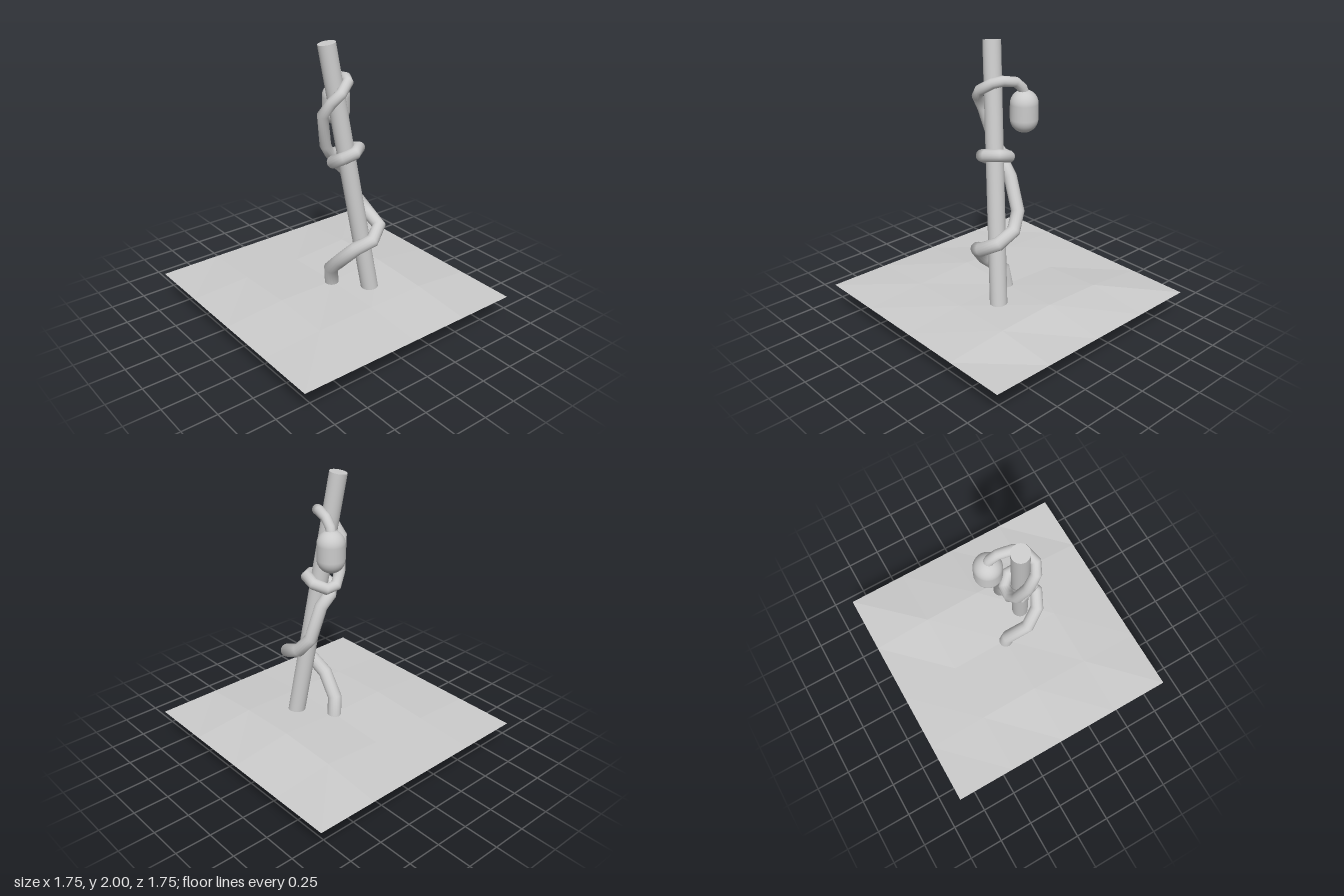
import * as THREE from 'three';

const v = (a) => new THREE.Vector3(...a);
const grey = (extra = {}) => new THREE.MeshStandardMaterial({ color: 0xcccccc, ...extra });

// Tapered tube swept along a polyline with mitred bends and closed ends
function sweep(points, r0, r1, sides) {
  const n = points.length;
  const pos = [], index = [];
  let normal = new THREE.Vector3(1, 0, 0);
  points.forEach((p, i) => {
    const into = points[Math.max(i, 1)].clone().sub(points[Math.max(i, 1) - 1]).normalize();
    const out = points[Math.min(i + 1, n - 1)].clone().sub(points[Math.min(i, n - 2)]).normalize();
    const tangent = into.add(out).normalize();
    normal.addScaledVector(tangent, -normal.dot(tangent)).normalize();
    const side = tangent.clone().cross(normal);
    const r = THREE.MathUtils.lerp(r0, r1, i / (n - 1));
    for (let j = 0; j < sides; j++) {
      const a = (j / sides) * Math.PI * 2;
      const q = p.clone().addScaledVector(normal, r * Math.cos(a)).addScaledVector(side, r * Math.sin(a));
      pos.push(q.x, q.y, q.z);
    }
  });
  for (let i = 0; i < n - 1; i++) {
    for (let j = 0; j < sides; j++) {
      const a = i * sides + j, b = i * sides + (j + 1) % sides;
      index.push(a, b, a + sides, b, b + sides, a + sides);
    }
  }
  // End caps use their own vertices so the rims stay sharp
  for (const ring of [0, n - 1]) {
    const base = pos.length / 3;
    pos.push(...pos.slice(ring * sides * 3, (ring + 1) * sides * 3));
    for (let j = 1; j < sides - 1; j++) {
      if (ring === 0) index.push(base, base + j + 1, base + j);
      else index.push(base, base + j, base + j + 1);
    }
  }
  const geo = new THREE.BufferGeometry();
  geo.setAttribute('position', new THREE.Float32BufferAttribute(pos, 3));
  geo.setIndex(index);
  geo.computeVertexNormals();
  return geo;
}

export function createModel() {
  const group = new THREE.Group();
  const add = (name, geo, mat = grey()) => {
    const mesh = new THREE.Mesh(geo, mat);
    mesh.name = name;
    group.add(mesh);
    return mesh;
  };

  // Gently uneven ground sheet, 4 x 4 cells, level at its border
  const ground = new THREE.PlaneGeometry(1.745, 1.745, 4, 4).rotateX(-Math.PI / 2);
  const heights = [
    [0.22, 0.215, 0.245],
    [0.24, 0.235, 0.26],
    [0.225, 0.235, 0.24],
  ];
  for (let row = 0; row < 5; row++) {
    for (let col = 0; col < 5; col++) {
      ground.attributes.position.setY(row * 5 + col, heights[row - 1]?.[col - 1] ?? 0.2);
    }
  }
  ground.computeVertexNormals();
  add('ground', ground, grey({ flatShading: true, side: THREE.DoubleSide }));

  // Leaning support pole, pushed through the ground
  const foot = v([0.195, 0.008, 0.245]), tip = v([-0.083, 1.992, 0.052]);
  const axis = tip.clone().sub(foot);
  const pole = add('pole', new THREE.CylinderGeometry(0.06, 0.06, axis.length(), 32));
  pole.position.copy(foot).add(tip).multiplyScalar(0.5);
  pole.quaternion.setFromUnitVectors(new THREE.Vector3(0, 1, 0), axis.normalize());

  // Stem climbing and winding around the pole
  const stem = [
    [0, 0.21, 0], [-0.02, 0.36, 0.015], [-0.055, 0.49, 0.16], [0, 0.61, 0.265],
    [0.1, 0.66, 0.315], [0.205, 0.72, 0.26], [0.21, 0.775, 0.13], [0.165, 0.88, 0.05],
    [0.08, 1.1, 0.04], [0.01, 1.17, 0.03],
    [-0.06, 1.2, 0.09], [-0.04, 1.25, 0.18], [0.03, 1.275, 0.205], [0.1, 1.285, 0.16],
    [0.11, 1.26, 0.08], [0.05, 1.225, 0.02], [-0.03, 1.23, 0.015],
    [-0.085, 1.31, 0.04], [-0.14, 1.54, 0.085], [-0.115, 1.635, 0.15],
    [-0.06, 1.69, 0.175], [0.02, 1.742, 0.14], [0.05, 1.752, 0.08],
    [0.075, 1.735, -0.01], [0.085, 1.69, -0.06], [0.09, 1.64, -0.075],
  ].map(v);
  add('stem', sweep(stem, 0.05, 0.033, 16));

  // Rounded pod hanging from the stem tip
  const pod = add('pod', new THREE.CapsuleGeometry(0.094, 0.1, 12, 32));
  pod.position.set(0.09, 1.532, -0.073);

  return group;
}
